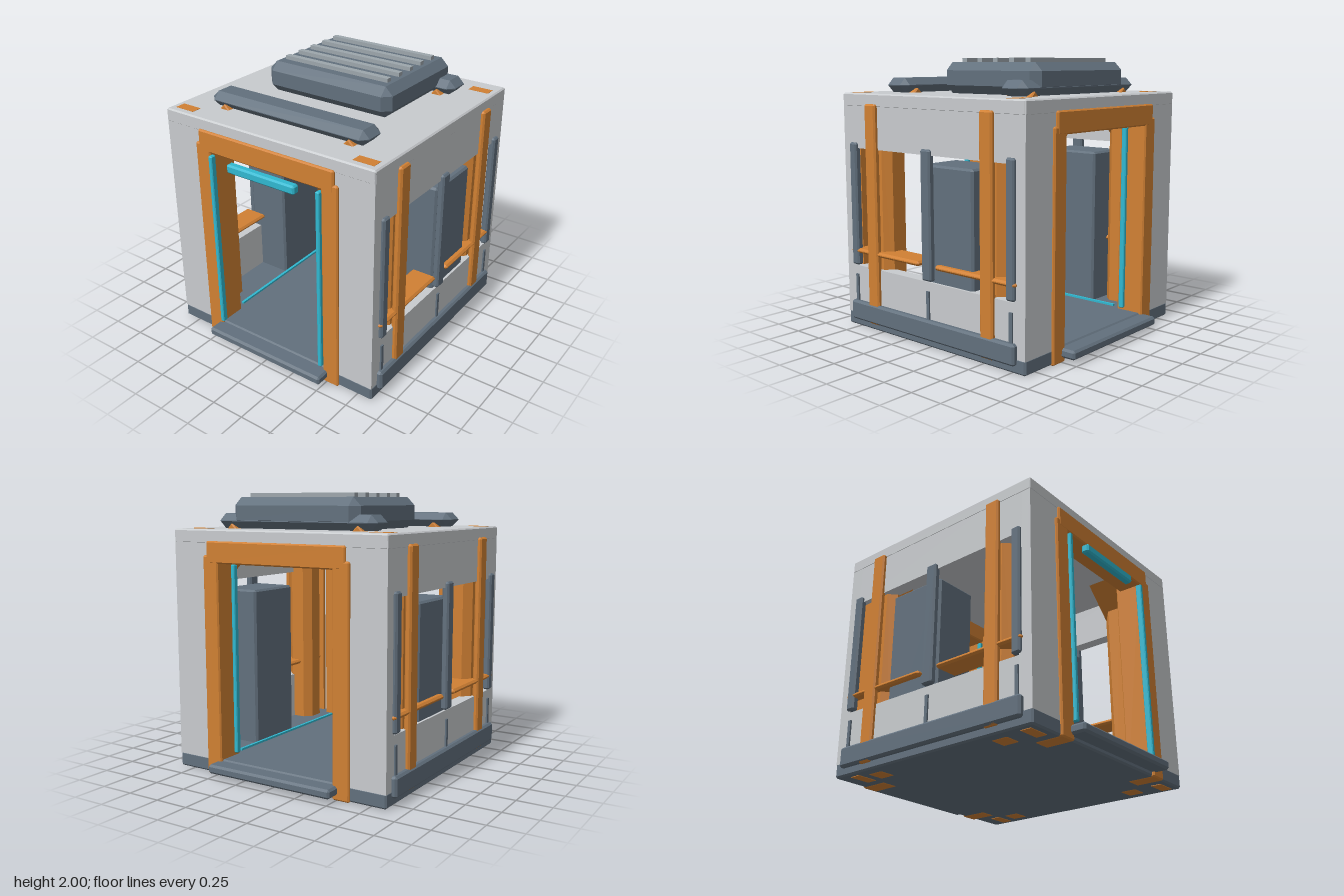
import * as THREE from 'three';
import { ConvexGeometry } from 'three/addons/geometries/ConvexGeometry.js';

const mat = (name, color) => {
  const m = new THREE.MeshStandardMaterial({ color });
  m.name = name;
  return m;
};

// Box with every edge chamfered by c
function chamferBox(w, h, d, c) {
  if (!c) return new THREE.BoxGeometry(w, h, d);
  const pts = [];
  for (const sx of [-1, 1]) for (const sy of [-1, 1]) for (const sz of [-1, 1]) {
    const x = w / 2, y = h / 2, z = d / 2;
    pts.push(
      new THREE.Vector3(sx * x, sy * (y - c), sz * (z - c)),
      new THREE.Vector3(sx * (x - c), sy * y, sz * (z - c)),
      new THREE.Vector3(sx * (x - c), sy * (y - c), sz * z));
  }
  return new ConvexGeometry(pts);
}

export function createModel() {
  const model = new THREE.Group();
  model.name = 'modularCabin';
  const wall = mat('pale grey panel', 0xc8cbce);
  const dark = mat('slate metal', 0x62707d);
  const orange = mat('orange trim', 0xd08033);
  const cyan = mat('cyan light', 0x30b8d0);
  const slatGrey = mat('slat grey', 0x9da6ac);

  // Box given by its ranges [min, max] on each axis
  function block(name, material, [x0, x1], [y0, y1], [z0, z1], c = 0) {
    const mesh = new THREE.Mesh(chamferBox(x1 - x0, y1 - y0, z1 - z0, c), material);
    mesh.position.set((x0 + x1) / 2, (y0 + y1) / 2, (z0 + z1) / 2);
    mesh.name = name;
    model.add(mesh);
    return mesh;
  }
  // Range mirrored when s is -1
  const flip = (s, a, b) => (s > 0 ? [a, b] : [-b, -a]);

  // Floor and roof
  block('floor', dark, [-0.87, 0.87], [0.004, 0.11], [-0.87, 0.87], 0.012);
  block('roof', wall, [-0.87, 0.87], [1.65, 1.75], [-0.87, 0.87], 0.01);

  // Front and back ends
  for (const s of [1, -1]) {
    const wz = flip(s, 0.77, 0.868);
    block('endWallTop', wall, [-0.868, 0.868], [1.53, 1.74], wz);
    block('frameHeader', orange, [-0.57, 0.57], [1.515, 1.67], flip(s, 0.7, 0.887), 0.01);
    block('doorSill', dark, [-0.51, 0.51], [0.035, 0.1], flip(s, 0.8, 0.988), 0.015);
    for (const m of [1, -1]) {
      block('endWallSide', wall, flip(m, 0.5, 0.868), [0.1, 1.74], wz);
      block('frameJamb', orange, flip(m, 0.47, 0.6), [0, 1.57], flip(s, 0.67, 0.886), 0.01);
      block('jambLight', cyan, flip(m, 0.44, 0.472), [0.13, 1.5],
        s > 0 ? [0.86, 0.905] : [-0.74, -0.7], 0.006);
      block('cornerPost', orange, flip(m, 0.668, 0.825), [0, 1.752],
        s > 0 ? [0.742, 0.82] : [-0.753, -0.674]);
    }
  }
  block('doorLight', cyan, [-0.29, 0.285], [1.43, 1.495], [0.865, 0.925], 0.012);

  // Long sides, mirrored
  for (const m of [1, -1]) {
    block('sideWallLower', wall, flip(m, 0.77, 0.868), [0.1, 0.47], [-0.8, 0.8]);
    block('sideWallUpper', wall, flip(m, 0.77, 0.868), [1.35, 1.74], [-0.8, 0.8]);
    block('sideSkirt', dark, flip(m, 0.84, 0.905), [0.06, 0.205], [-0.8, 0.8], 0.015);
    block('cabinet', dark, flip(m, 0.52, 0.85), [0.08, 1.285], [-0.405, 0.06], 0.015);
    block('floorLight', cyan, flip(m, 0.495, 0.515), [0.1, 0.125], [-0.62, 0.62]);

    for (const z of [-0.755, 0, 0.755]) {
      const hw = z ? 0.036 : 0.046;
      block('mullion', dark, flip(m, 0.84, 0.893), [0.48, 1.39], [z - hw, z + hw], 0.012);
      block('lowerRib', dark, flip(m, 0.85, 0.88), [0.19, 0.405], [z - 0.013, z + 0.013]);
    }
    for (const s of [1, -1]) {
      block('outerPost', orange, flip(m, 0.85, 0.897), [0.055, 1.675], flip(s, 0.5, 0.612), 0.012);
      block('windowShelf', orange, flip(m, 0.7, 0.892), [0.57, 0.605], flip(s, 0.08, 0.8), 0.014);

      // Inner column with chamfered corners, and its diagonal brace
      block('innerColumn', orange, flip(m, 0.62, 0.84), [0, 1.6], flip(s, 0.44, 0.66), 0.055);
      const brace = new THREE.Mesh(chamferBox(0.155, 0.46, 0.22, 0.008), orange);
      brace.name = 'ceilingBrace';
      brace.position.set(m * 0.63, 1.572, s * 0.55);
      brace.rotation.z = m * Math.PI / 4;
      model.add(brace);
    }
  }

  // Roof equipment
  block('frontRoofBar', dark, [-0.655, 0.655], [1.752, 1.857], [0.44, 0.665], 0.05);
  block('rearRoofBar', dark, [-0.655, 0.655], [1.752, 1.857], [-0.67, -0.445], 0.05);
  block('roofUnit', dark, [-0.522, 0.522], [1.752, 1.972], [-0.67, 0.2], 0.058);
  for (let i = 0; i < 5; i++) {
    const z = -0.527 + i * 0.145;
    block('ventSlat', slatGrey, [-0.435, 0.435], [1.96, 2], [z - 0.022, z + 0.022]);
  }
  return model;
}
